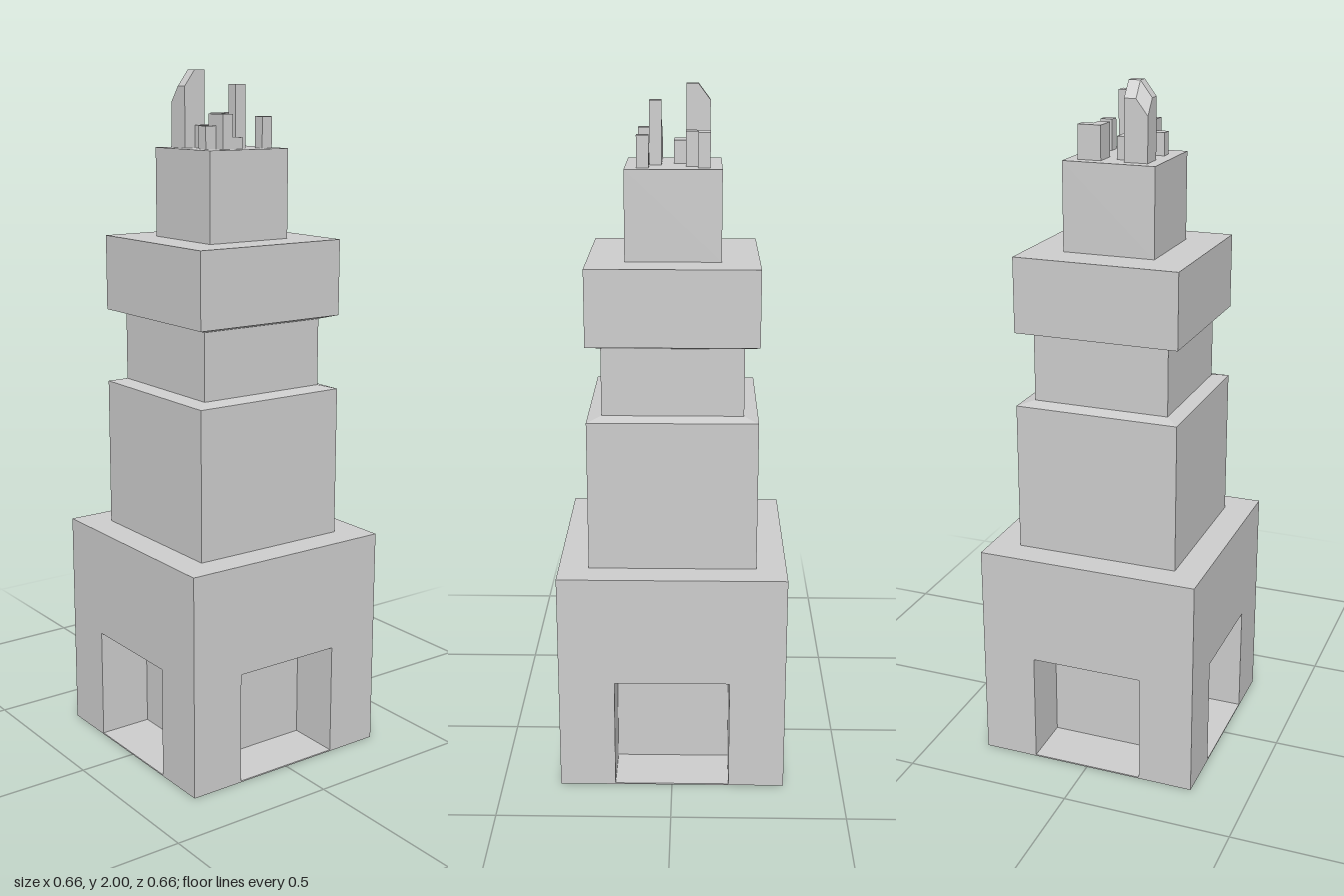
import * as THREE from 'three';

export function createModel() {
  const model = new THREE.Group();
  const stone = new THREE.MeshStandardMaterial({ color: 0xcccccc });
  stone.name = 'pale grey stone';

  const add = (name, geometry) => {
    const mesh = new THREE.Mesh(geometry, stone);
    mesh.name = name;
    model.add(mesh);
    return mesh;
  };
  // box given by its limits
  const box = (name, x0, x1, y0, y1, z0, z1) =>
    add(name, new THREE.BoxGeometry(x1 - x0, y1 - y0, z1 - z0))
      .position.set((x0 + x1) / 2, (y0 + y1) / 2, (z0 + z1) / 2);
  // square tier from [half width, height] pairs, bottom to top
  const tier = (name, profile) => {
    const points = profile.map(([h, y]) => new THREE.Vector2(h * Math.SQRT2, y));
    const g = new THREE.LatheGeometry(points, 4).rotateY(Math.PI / 4).toNonIndexed();
    g.computeVertexNormals();
    return add(name, g);
  };

  // base: floor, four corner piers round a core, and the block over the doorways
  const H = 0.329, D = 0.167, C = 0.168, doorTop = 0.333, baseTop = 0.657, floor = 0.004;
  box('floorSlab', -H, H, 0, floor, -H, H);
  const plan = new THREE.Shape();
  for (let i = 0; i < 4; i++) {
    const c = Math.round(Math.cos(i * Math.PI / 2)), s = Math.round(Math.sin(i * Math.PI / 2));
    for (const [x, y] of [[C, -D], [C, D], [H, D], [H, H], [D, H]]) {
      const px = x * c - y * s, py = x * s + y * c;
      if (i === 0 && x === C && y === -D) plan.moveTo(px, py);
      else plan.lineTo(px, py);
    }
  }
  const piers = new THREE.ExtrudeGeometry(plan, { depth: doorTop - floor, bevelEnabled: false });
  piers.rotateX(-Math.PI / 2).translate(0, floor, 0);
  add('doorwayPiers', piers);
  box('baseBlock', -H, H, doorTop, baseTop, -H, H);

  // shaft with a narrow waist, then the crown block
  tier('shaft', [
    [0.242, baseTop], [0.242, 1.095], [0.201, 1.105], [0.201, 1.30],
    [0.242, 1.312], [0.242, 1.53], [0, 1.53],
  ]);
  const roof = 1.784;
  tier('crown', [[0.135, 1.53], [0.135, roof], [0, roof]]);

  // roof spires on a grid of small cells: [x0, x1, z0, z1] in cells, top height
  const u = 0.034;
  const spires = [
    [-3, -2, -3, -1, 1.88], [-2, -1, -2, -1, 1.88],
    [2, 3, -3, -2, 1.872],
    [1, 2, -1, 0, 1.96],
    [-2, 0, 0, 1, 1.848], [-1, 0, 1, 2, 1.848],
    [2, 3, 0, 1, 1.816], [1, 3, 1, 2, 1.88],
    [1, 2, 2, 3, 1.848],
  ];
  for (const [x0, x1, z0, z1, top] of spires)
    box('roofSpire', x0 * u, x1 * u, roof, top, z0 * u, z1 * u);

  // tallest spire, its top bevelled towards the outer two sides
  const tall = new THREE.BoxGeometry(2 * u, 2 - roof, 2 * u, 2, 1, 2);
  tall.translate(-2 * u, (2 + roof) / 2, 2 * u);
  const p = tall.attributes.position;
  for (let i = 0; i < p.count; i++) {
    if (p.getY(i) < 1.9) continue;
    const drop = (p.getX(i) < -2.5 * u ? 0.045 : 0) + (p.getZ(i) > 2.5 * u ? 0.045 : 0);
    p.setY(i, p.getY(i) - drop);
  }
  const tallFlat = tall.toNonIndexed();
  tallFlat.computeVertexNormals();
  add('tallSpire', tallFlat);

  return model;
}
